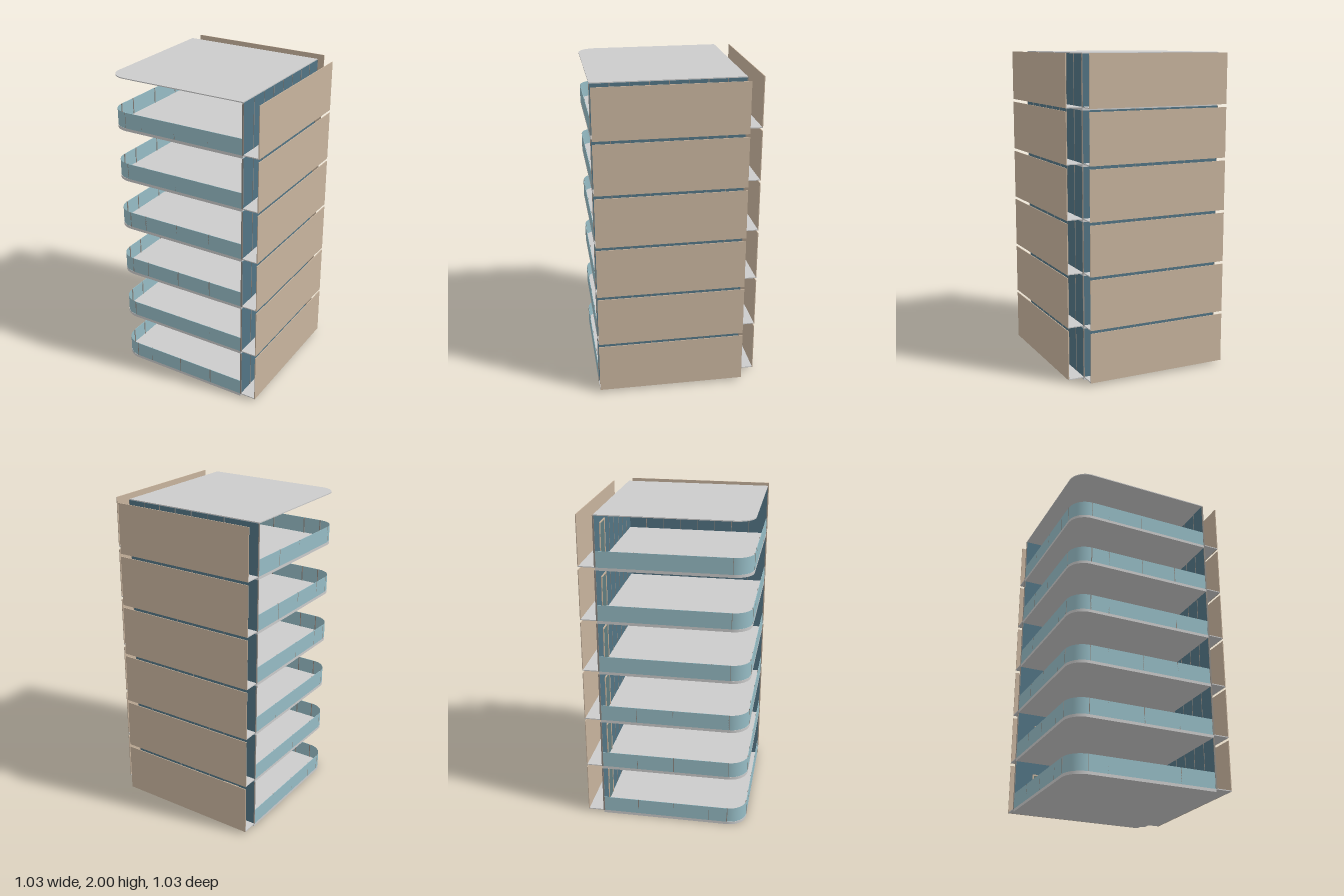
import * as THREE from 'three';

const FLOORS = 6, PITCH = 2 / FLOORS;
const MIN = -0.515, MAX = 0.41, OUT = 0.514, R = 0.115, BAY = (MAX - MIN) / 8;
const SLAB = 0.018, RAIL_TOP = 0.118;

const mat = (color) => new THREE.MeshStandardMaterial({ color, side: THREE.DoubleSide });
const grey = mat(0xcccccc), tan = mat(0xc8b49e), glass = mat(0x527484),
  railGlass = mat(0x96bcc5), doorGlass = mat(0x5f7d80), frame = mat(0x8f8a84);

// Box given by its min and max corners
function box(parent, name, material, x0, x1, y0, y1, z0, z1) {
  const m = new THREE.Mesh(new THREE.BoxGeometry(x1 - x0, y1 - y0, z1 - z0), material);
  m.position.set((x0 + x1) / 2, (y0 + y1) / 2, (z0 + z1) / 2);
  m.name = name;
  parent.add(m);
  return m;
}

// Square plate with one rounded corner at the front left of the plan
function plate(parent, name, y, thickness) {
  const s = new THREE.Shape();
  s.moveTo(MAX, MAX);
  s.lineTo(MIN, MAX);
  s.lineTo(MIN, MIN + R);
  s.absarc(MIN + R, MIN + R, R, Math.PI, Math.PI * 1.5, false);
  s.lineTo(MAX, MIN);
  s.closePath();
  const g = new THREE.ExtrudeGeometry(s, { depth: thickness, bevelEnabled: false, curveSegments: 16 });
  g.rotateX(-Math.PI / 2); // plan y becomes -z, extrusion goes up
  const m = new THREE.Mesh(g, grey);
  m.position.y = y;
  m.name = name;
  parent.add(m);
}

// Glass balustrade along the front, round the corner and along the left edge
function balustrade(parent) {
  const h = RAIL_TOP - SLAB, edge = -MIN, t = 0.003;
  box(parent, 'frontRailing', railGlass, MIN + R, MAX, SLAB, RAIL_TOP, edge - t, edge);
  box(parent, 'sideRailing', railGlass, MIN, MIN + t, SLAB, RAIL_TOP, -MAX, edge - R);
  const corner = new THREE.Mesh(
    new THREE.CylinderGeometry(R - t / 2, R - t / 2, h, 16, 1, true, -Math.PI / 2, Math.PI / 2), railGlass);
  corner.position.set(MIN + R, SLAB + h / 2, edge - R);
  corner.name = 'cornerRailing';
  parent.add(corner);
  // posts on every second bay and at both ends of the curve
  const w = 0.003;
  for (const p of [MIN + R, MIN + 2 * BAY, MIN + 4 * BAY, MIN + 6 * BAY, MAX - w]) {
    box(parent, 'frontRailingPost', frame, p - w, p + w, SLAB, RAIL_TOP, edge - 0.006, edge);
    box(parent, 'sideRailingPost', frame, MIN, MIN + 0.006, SLAB, RAIL_TOP, -p - w, -p + w);
  }
}

// Glazed walls at the back and right with mullions on every bay
function glazing(parent, top) {
  const t = 0.003, w = 0.002;
  box(parent, 'backGlassWall', glass, MIN, MAX, SLAB, top, -MAX - t, -MAX + t);
  box(parent, 'rightGlassWall', glass, MAX - t, MAX + t, SLAB, top, -MAX, -MIN);
  for (let i = 0; i <= 8; i++) {
    const p = MIN + i * BAY;
    const base = i === 1 ? 0.25 : SLAB;
    if (i !== 1) box(parent, 'backMullion', frame, p - w, p + w, base, top, -MAX - 0.005, -MAX + 0.005);
    box(parent, 'rightMullion', frame, MAX - 0.005, MAX + 0.005, SLAB, top, -p - w, -p + w);
  }
}

// Framed door in the second bay of the back wall
function door(parent) {
  const x0 = MIN + BAY, x1 = MIN + 2 * BAY, top = 0.258, w = 0.009;
  const z0 = -MAX - 0.006, z1 = -MAX + 0.009;
  const g = new THREE.Group();
  g.name = 'door';
  box(g, 'doorLeaf', doorGlass, x0 + w, x1 - w, SLAB, top - w, z0 + 0.001, z1 - 0.004);
  box(g, 'doorJamb', tan, x0, x0 + w, SLAB, top, z0, z1);
  box(g, 'doorJamb', tan, x1 - w, x1, SLAB, top, z0, z1);
  box(g, 'doorHead', tan, x0 + w, x1 - w, top - w, top, z0, z1);
  parent.add(g);
}

// Solid screens standing off the building on thin ledges
function screens(parent) {
  const t = 0.004, y0 = 0.016, y1 = 0.022, top = 0.331;
  box(parent, 'rightLedge', grey, MAX, OUT, y0, y1, -MAX, -MIN);
  box(parent, 'backLedge', grey, MIN, MAX, y0, y1, -OUT, -MAX);
  box(parent, 'rightScreen', tan, OUT - t, OUT + 0.001, y0, top, -MAX, -MIN);
  box(parent, 'backScreen', tan, MIN, MAX, y0, top, -OUT - 0.001, -OUT + t);
}

export function createModel() {
  const model = new THREE.Group();
  model.name = 'apartmentTower';
  for (let i = 0; i < FLOORS; i++) {
    const floor = new THREE.Group();
    floor.name = 'floor' + (i + 1);
    floor.position.y = i * PITCH;
    plate(floor, 'floorSlab', 0, SLAB);
    balustrade(floor);
    glazing(floor, i === FLOORS - 1 ? PITCH - 0.006 : PITCH);
    door(floor);
    screens(floor);
    model.add(floor);
  }
  plate(model, 'roof', 2 - 0.006, 0.006);
  return model;
}
